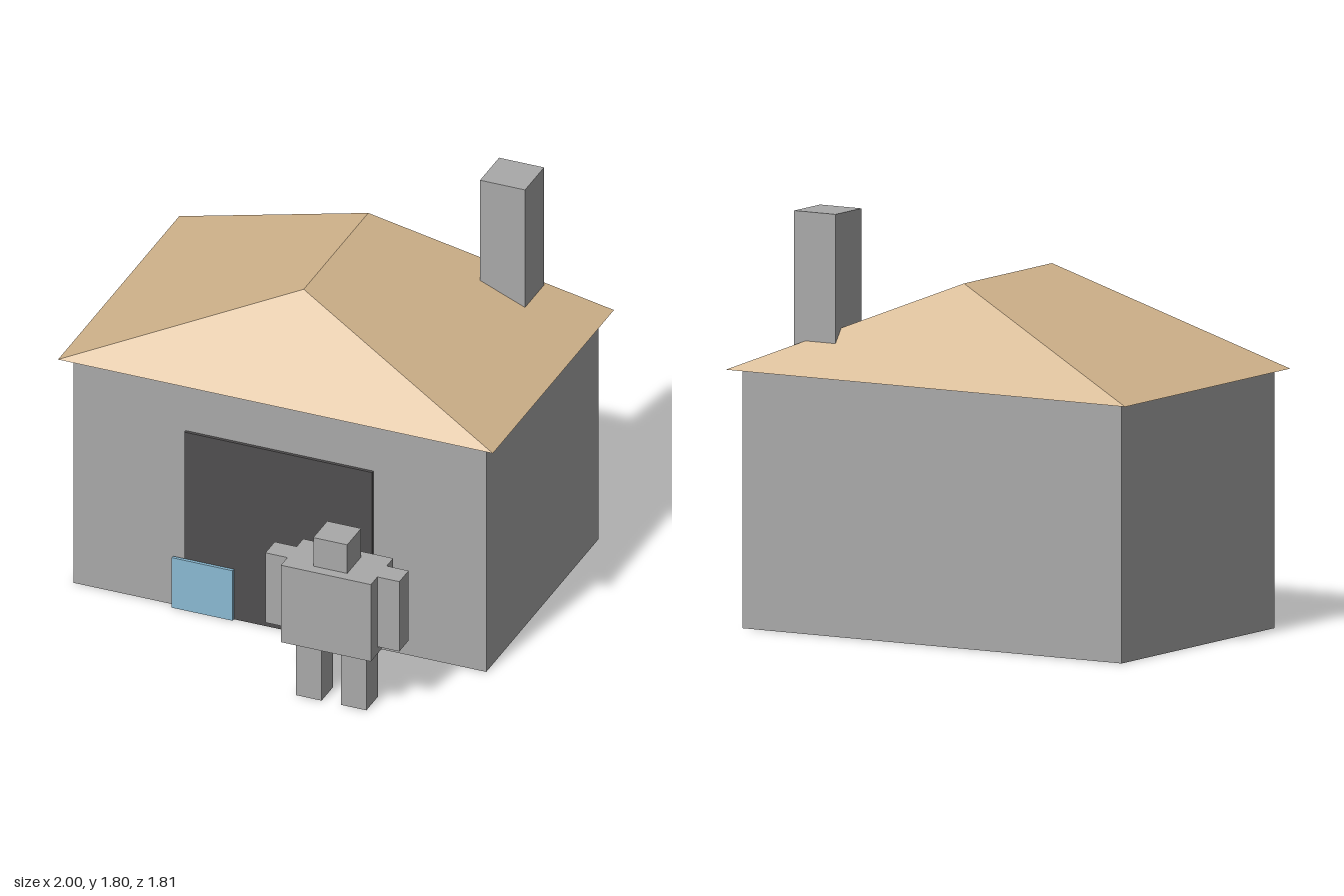
import * as THREE from 'three';

const material = (name, color) => {
  const m = new THREE.MeshStandardMaterial({ color });
  m.name = name;
  return m;
};

// Box given by its low and high limits on each axis
function block(name, mat, [x0, x1], [y0, y1], [z0, z1]) {
  const mesh = new THREE.Mesh(new THREE.BoxGeometry(x1 - x0, y1 - y0, z1 - z0), mat);
  mesh.position.set((x0 + x1) / 2, (y0 + y1) / 2, (z0 + z1) / 2);
  mesh.name = name;
  return mesh;
}

// Hipped roof: rectangular eaves rising to a ridge along z
function hipRoof(halfWidth, eaveY, ridgeY, [backZ, frontZ], [ridgeBackZ, ridgeFrontZ]) {
  const a = [-halfWidth, eaveY, frontZ], b = [halfWidth, eaveY, frontZ];
  const c = [halfWidth, eaveY, backZ], d = [-halfWidth, eaveY, backZ];
  const e = [0, ridgeY, ridgeFrontZ], f = [0, ridgeY, ridgeBackZ];
  const triangles = [
    a, b, e, // front
    c, d, f, // back
    b, c, f, b, f, e, // left side
    d, a, e, d, e, f, // right side
    a, d, c, a, c, b, // underside
  ];
  const geometry = new THREE.BufferGeometry();
  geometry.setAttribute('position', new THREE.Float32BufferAttribute(triangles.flat(), 3));
  geometry.computeVertexNormals();
  return geometry;
}

export function createModel() {
  const stone = material('stone grey', 0xa9a9a9);
  const tan = material('roof tan', 0xd2b48c);
  const dark = material('door charcoal', 0x504e4f);
  const blue = material('panel blue', 0x8ab9d2);
  const model = new THREE.Group();

  // House
  const house = new THREE.Group();
  house.name = 'house';
  const roof = new THREE.Mesh(hipRoof(1, 1.108, 1.518, [-0.905, 0.4], [-0.6, 0.095]), tan);
  roof.name = 'roof';
  house.add(
    block('walls', stone, [-0.95, 0.95], [0, 1.108], [-0.853, 0.353]),
    roof,
    block('chimney', stone, [0.515, 0.722], [1.15, 1.798], [-0.803, -0.598]),
    block('door', dark, [-0.433, 0.431], [0, 0.865], [0.353, 0.367]),
    block('bluePanel', blue, [-0.485, -0.205], [0, 0.245], [0.367, 0.381]),
  );

  // Blocky figure standing in front of the door, built around its own centre
  const figure = new THREE.Group();
  figure.name = 'figure';
  figure.position.set(0.448, 0, 0.785);
  figure.add(
    block('torso', stone, [-0.207, 0.207], [0.28, 0.657], [-0.12, 0.12]),
    block('head', stone, [-0.078, 0.078], [0.657, 0.797], [-0.077, 0.073]),
  );
  for (const [label, s] of [['left', 1], ['right', -1]]) {
    const span = (near, far) => [s * near, s * far].sort((p, q) => p - q);
    figure.add(
      block(label + 'Arm', stone, span(0.207, 0.308), [0.315, 0.657], [-0.05, 0.05]),
      block(label + 'Leg', stone, span(0.044, 0.162), [0, 0.28], [-0.06, 0.063]),
    );
  }

  model.add(house, figure);
  return model;
}
